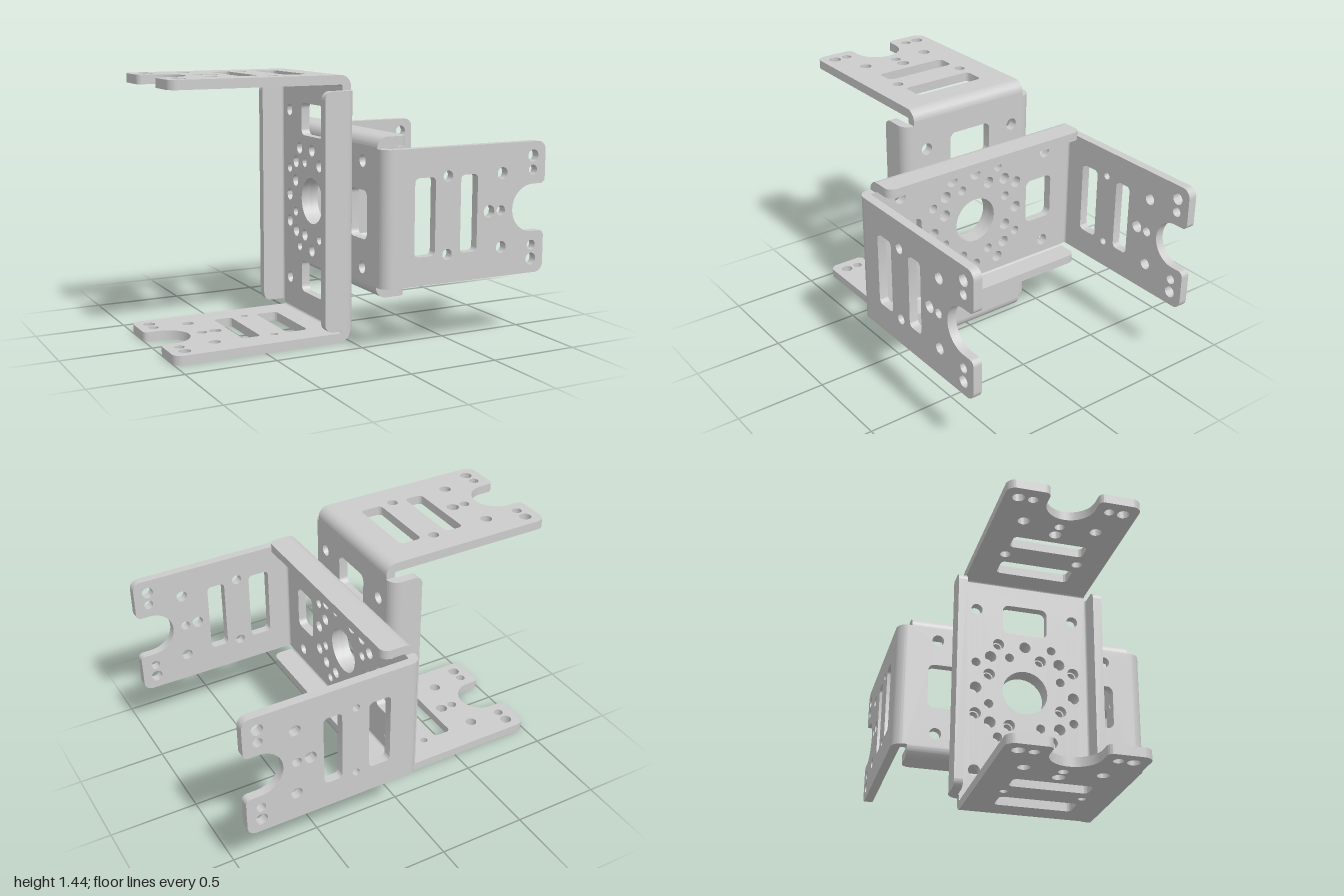
import * as THREE from 'three';
import { toCreasedNormals } from 'three/addons/utils/BufferGeometryUtils.js';

const T = 0.05;      // sheet thickness
const R = 0.06;      // outer bend radius
const MID = 0.72;    // height of the centre, also half the bracket span
const material = new THREE.MeshStandardMaterial({ color: 0xcccccc });

function extrude(shape, depth) {
  const geo = new THREE.ExtrudeGeometry(shape, { depth, bevelEnabled: false, curveSegments: 14 });
  return toCreasedNormals(geo, 0.6);
}

function mesh(name, geo) {
  const m = new THREE.Mesh(geo, material);
  m.name = name;
  return m;
}

function circle(x, y, r) {
  return new THREE.Path().absarc(x, y, r, 0, Math.PI * 2, true);
}

function slot(x0, x1, h, r) {
  const p = new THREE.Path();
  p.absarc(x1 - r, h - r, r, Math.PI / 2, 0, true);
  p.absarc(x1 - r, -h + r, r, 0, -Math.PI / 2, true);
  p.absarc(x0 + r, -h + r, r, -Math.PI / 2, -Math.PI, true);
  p.absarc(x0 + r, h - r, r, Math.PI, Math.PI / 2, true);
  p.closePath();
  return p;
}

// Flat centre plate with bore, slots and the ring of mounting holes
function webPlate() {
  const a = MID - R, b = 0.36;
  const s = new THREE.Shape([[-a, -b], [a, -b], [a, b], [-a, b]].map(p => new THREE.Vector2(...p)));
  s.holes.push(circle(0, 0, 0.13), slot(0.36, 0.54, 0.13, 0.035), slot(-0.54, -0.36, 0.13, 0.035));
  for (const i of [-1, 1]) for (const j of [-1, 1]) {
    s.holes.push(circle(i * 0.49, j * 0.283, 0.033));
  }
  // One quarter of the ring, turned four times: position and radius
  const quarter = [
    [0, 0.283, 0.033], [0.2, 0.2, 0.033],
    [0.155, 0.283, 0.033], [-0.155, 0.283, 0.026],
    [-0.09, 0.207, 0.033], [0.09, 0.207, 0.026],
  ];
  for (let k = 0; k < 4; k++) {
    for (const [x, y, r] of quarter) {
      const p = new THREE.Vector2(x, y).rotateAround(new THREE.Vector2(), k * Math.PI / 2);
      s.holes.push(circle(p.x, p.y, r));
    }
  }
  return mesh('web', extrude(s, T).rotateY(-Math.PI / 2).translate(T, 0, 0));
}

// Arm outline: rounded corners and a U-shaped notch in the free end
function armShape(boltRadius) {
  const s = new THREE.Shape();
  const w = 0.36, c = 0.05, n = 0.13, f = 0.03;
  s.moveTo(R, w);
  s.lineTo(R, -w);
  s.absarc(1 - c, -w + c, c, -Math.PI / 2, 0, false);
  s.absarc(1 - f, -n - f, f, 0, Math.PI / 2, false);
  s.absarc(0.92, 0, n, -Math.PI / 2, -Math.PI * 1.5, true);
  s.absarc(1 - f, n + f, f, -Math.PI / 2, 0, false);
  s.absarc(1 - c, w - c, c, 0, Math.PI / 2, false);
  s.closePath();
  s.holes.push(slot(0.18, 0.305, 0.207, 0.025), slot(0.46, 0.565, 0.207, 0.025));
  s.holes.push(circle(0.64, 0, 0.034), circle(0.716, 0, 0.027));
  for (const j of [-1, 1]) {
    s.holes.push(circle(0.38, j * 0.207, boltRadius), circle(0.722, j * 0.2, 0.032));
    s.holes.push(circle(0.92, j * 0.206, 0.027), circle(0.92, j * 0.283, 0.033));
  }
  return s;
}

// Short stiffening lip
function lipShape() {
  const s = new THREE.Shape();
  const w = 0.64, c = 0.045, x = 0.18;
  s.moveTo(R, w);
  s.lineTo(R, -w);
  s.absarc(x - c, -w + c, c, -Math.PI / 2, 0, false);
  s.absarc(x - c, w - c, c, 0, Math.PI / 2, false);
  s.closePath();
  return s;
}

// A plate folded off the web at distance h, turned about x to its side
function folded(name, shape, h, width, angle) {
  const g = new THREE.Group();
  g.name = name;
  const section = new THREE.Shape();
  section.absarc(R, h - R, R, Math.PI / 2, Math.PI, false);
  section.absarc(R, h - R, R - T, Math.PI, Math.PI / 2, true);
  section.closePath();
  g.add(mesh(name + 'Bend', extrude(section, width).translate(0, 0, -width / 2)));
  g.add(mesh(name + 'Plate', extrude(shape, T).rotateX(-Math.PI / 2).translate(0, h - T, 0)));
  g.rotation.x = angle;
  return g;
}

function bracket(name) {
  const g = new THREE.Group();
  g.name = name;
  g.add(
    webPlate(),
    folded('firstArm', armShape(0.029), MID, 0.72, Math.PI / 2),
    folded('secondArm', armShape(0.021), MID, 0.72, -Math.PI / 2),
    folded('firstLip', lipShape(), 0.42, 1.28, 0),
    folded('secondLip', lipShape(), 0.42, 1.28, Math.PI),
  );
  g.position.y = MID;
  return g;
}

export function createModel() {
  const model = new THREE.Group();
  model.name = 'backToBackBrackets';
  const left = bracket('leftBracket');
  // The second bracket is flipped over and turned a quarter turn
  const right = bracket('rightBracket');
  right.quaternion.setFromAxisAngle(new THREE.Vector3(0, 1, 1).normalize(), Math.PI);
  model.add(left, right);
  return model;
}
